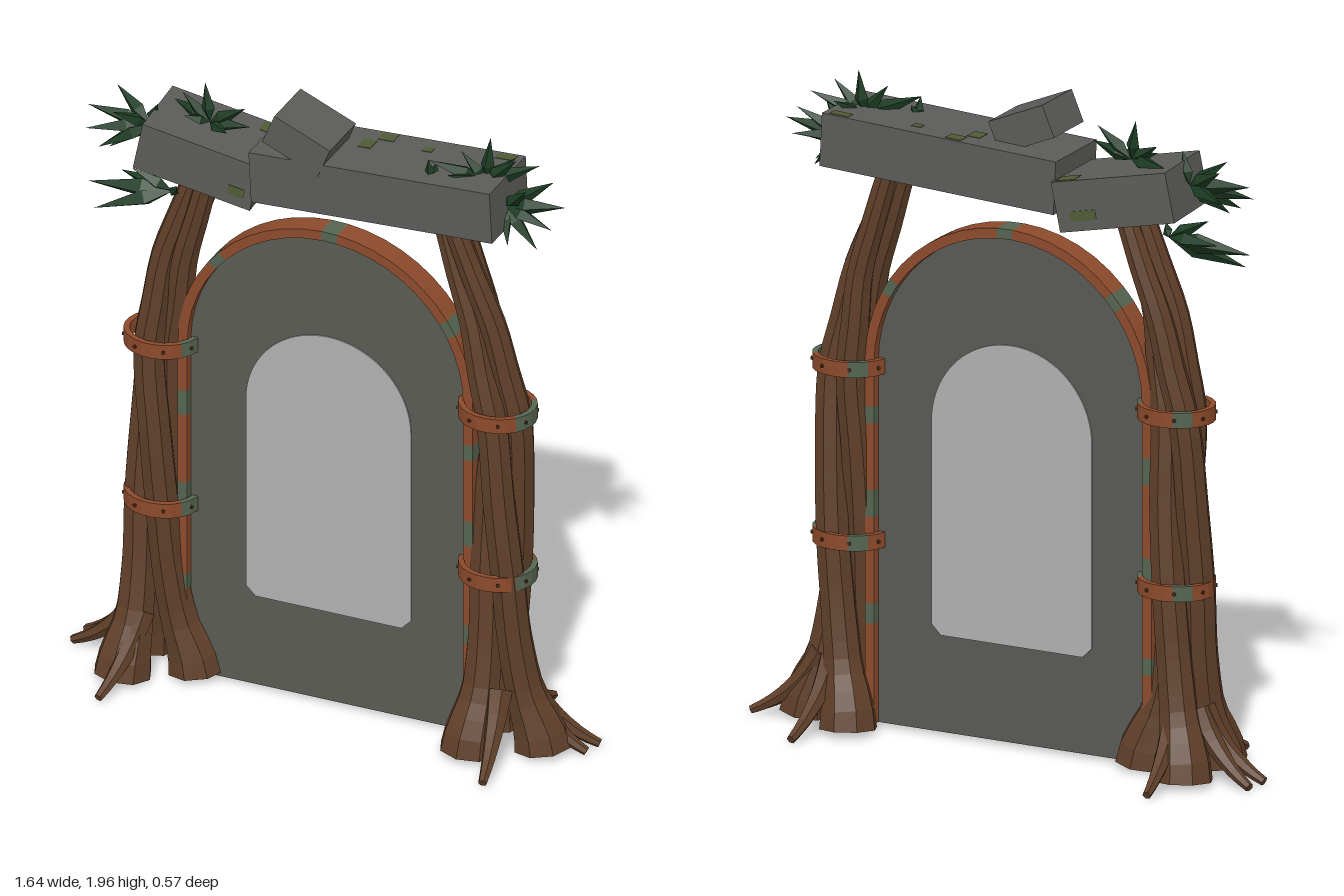
import * as THREE from 'three';

const mat = (name, color) => {
  const m = new THREE.MeshStandardMaterial({ color, flatShading: true });
  m.name = name;
  return m;
};
const V = (x, y, z) => new THREE.Vector3(x, y, z);

// Linear lookup in a list of [y, value] pairs
function lookup(table, y) {
  for (let i = 1; i < table.length; i++) {
    const [y0, v0] = table[i - 1], [y1, v1] = table[i];
    if (y <= y1) return v0 + (v1 - v0) * Math.max(0, (y - y0) / (y1 - y0));
  }
  return table[table.length - 1][1];
}

// Closed tube whose radius varies along the path (t from 0 to 1)
function taperedTube(points, segs, sides, radius) {
  const curve = new THREE.CatmullRomCurve3(points);
  const geo = new THREE.TubeGeometry(curve, segs, 1, sides);
  const pos = geo.attributes.position, p = V(0, 0, 0);
  for (let i = 0; i <= segs; i++) {
    const own = curve.getPointAt(i / segs);
    const k = Math.min(segs - 1, Math.max(1, i));
    const c = curve.getPointAt(k / segs);
    const r = i === k ? radius(i / segs, c) : 0;
    for (let j = 0; j <= sides; j++) {
      const n = i * (sides + 1) + j;
      p.fromBufferAttribute(pos, n).sub(own).multiplyScalar(r).add(c);
      pos.setXYZ(n, p.x, Math.max(0.008, p.y), p.z);
    }
  }
  geo.computeVertexNormals();
  return geo;
}

// Round-topped outline; cut chamfers the bottom corners
function archShape(w, bottom, spring, cut) {
  const s = new THREE.Shape();
  s.moveTo(-w + cut, bottom);
  s.lineTo(w - cut, bottom);
  s.lineTo(w, bottom + cut);
  s.lineTo(w, spring);
  s.absarc(0, spring, w, 0, Math.PI, false);
  s.lineTo(-w, bottom + cut);
  s.closePath();
  return s;
}

function extrude(shape, depth) {
  const g = new THREE.ExtrudeGeometry(shape, { depth, bevelEnabled: false, curveSegments: 24 });
  return g.translate(0, 0, -depth / 2);
}

export function createModel() {
  const root = new THREE.Group();
  root.name = 'overgrownDoorway';
  const bark = mat('bark', 0x5f3f29), stone = mat('stone', 0x5b5b58), slab = mat('doorSlab', 0x595a54);
  const pane = mat('paleInset', 0xb0b0b0), rust = mat('rustedMetal', 0x8c4a2b), green = mat('verdigris', 0x566450);
  const rivetMat = mat('darkRivet', 0x4a2a1c), leaf = mat('leaf', 0x1c3b23), moss = mat('moss', 0x505a35);
  const add = (parent, name, geo, material) => {
    const m = new THREE.Mesh(geo, material);
    m.name = name;
    parent.add(m);
    return m;
  };

  // Door slab with pale arched inset showing on both faces
  add(root, 'doorSlab', extrude(archShape(0.44, 0.05, 1.13, 0.001), 0.024), slab);
  add(root, 'doorInset', extrude(archShape(0.26, 0.34, 0.98, 0.03), 0.032), pane);

  // Metal rim following the arch, with weathered sections
  const leg = 1.08, rIn = 0.435, rOut = 0.465, arc = Math.PI * 0.45, total = 2 * leg + arc;
  const rimPoint = (s, r) => {
    if (s < leg) return [r, 0.05 + s];
    if (s > leg + arc) return [-r, 1.13 - (s - leg - arc)];
    const a = (s - leg) / 0.45;
    return [r * Math.cos(a), 1.13 + r * Math.sin(a)];
  };
  const breaks = [0, 0.3, 0.36, 0.62, 0.7, 0.9, 0.95, leg, 1.3, 1.35, 1.75, 1.8, 2.15, 2.2,
    leg + arc, 2.65, 2.73, 2.95, 3.03, 3.25, 3.3, total];
  let weathered = false;
  for (let i = 1; i < breaks.length; i++) {
    const s0 = breaks[i - 1], s1 = breaks[i], n = Math.max(1, Math.ceil((s1 - s0) / 0.06));
    const outer = [], inner = [];
    for (let k = 0; k <= n; k++) {
      const s = s0 + (s1 - s0) * k / n;
      outer.push(new THREE.Vector2(...rimPoint(s, rOut)));
      inner.unshift(new THREE.Vector2(...rimPoint(s, rIn)));
    }
    weathered = (s1 - s0) < 0.1;
    add(root, 'doorRim', extrude(new THREE.Shape([...outer, ...inner]), 0.075), weathered ? green : rust);
  }

  // Trunks: three twisted strands each, with flared feet and roots
  const axis = [[0, 0.545], [0.6, 0.545], [1.1, 0.54], [1.4, 0.485], [1.7, 0.385], [1.85, 0.325]];
  const spread = [[0, 0.13], [0.1, 0.115], [0.22, 0.075], [0.4, 0.052], [1.1, 0.043], [1.7, 0.028], [1.85, 0.025]];
  const girth = [[0, 0.09], [0.08, 0.085], [0.22, 0.058], [0.4, 0.053], [1.1, 0.047], [1.7, 0.033], [1.85, 0.03]];
  const levels = [0.0, 0.1, 0.22, 0.4, 0.6, 0.85, 1.1, 1.25, 1.4, 1.55, 1.7];
  const rootTips = {
    '-1': [[-0.84, -0.01], [-0.83, -0.09], [-0.61, 0.3], [-0.585, -0.31]],
    '1': [[0.835, -0.085], [0.82, -0.02], [0.61, 0.3], [0.575, -0.31]],
  };
  for (const side of [-1, 1]) {
    const trunk = new THREE.Group();
    trunk.name = side > 0 ? 'leftTrunk' : 'rightTrunk';
    root.add(trunk);
    for (let k = 0; k < 3; k++) {
      const top = side < 0 && k === 0 ? 1.84 : 1.78;
      const pts = [...levels, top].map((y) => {
        const a = k * Math.PI * 2 / 3 + Math.max(0, y - 0.15) * 2.0;
        const d = lookup(spread, y);
        return V(side * lookup(axis, y) + d * Math.cos(a), y, d * Math.sin(a));
      });
      add(trunk, 'trunkStrand', taperedTube(pts, 36, 8, (t, c) => lookup(girth, c.y)), bark);
    }
    for (const [x, z] of rootTips[side]) {
      const cx = side * 0.55, at = (f, y) => V(cx + (x - cx) * f, y, z * f);
      add(trunk, 'root', taperedTube([at(0.15, 0.27), at(0.4, 0.16), at(0.7, 0.085), at(1.03, 0.035)],
        10, 6, (t) => 0.042 - 0.032 * t), bark);
    }

    // Riveted bands, weathered on one flank
    for (const y of [0.6, 1.12]) {
      const band = new THREE.Group();
      band.name = 'trunkBand';
      band.position.set(side * 0.527, y, 0);
      band.scale.z = 0.92;
      trunk.add(band);
      const h = 0.023;
      const profile = [[0.098, -h], [0.116, -h], [0.116, h], [0.098, h], [0.098, -h]].map((p) => new THREE.Vector2(...p));
      const part = (from, to, m) => add(band, 'bandSection',
        new THREE.LatheGeometry(profile, Math.round((to - from) / 15), from * Math.PI / 180, (to - from) * Math.PI / 180), m);
      part(50, 125, green);
      part(125, 200, rust);
      part(200, 230, green);
      part(230, 410, rust);
      for (let i = 0; i < 8; i++) {
        const a = (i + 0.5) * Math.PI / 4;
        const rivet = add(band, 'rivet', new THREE.CylinderGeometry(0.006, 0.006, 0.008, 6).rotateX(Math.PI / 2), rivetMat);
        rivet.position.set(Math.sin(a) * 0.116, 0, Math.cos(a) * 0.116);
        rivet.rotation.y = a;
      }
    }
  }

  // Broken stone lintel, loose block and moss plates
  const block = (name, size, position, rotation) => {
    const b = add(root, name, new THREE.BoxGeometry(...size), stone);
    b.position.set(...position);
    b.rotation.set(...rotation);
    return b;
  };
  const shortLintel = block('shortLintel', [0.365, 0.15, 0.245], [-0.382, 1.757, -0.012], [0, 0.07, -0.2]);
  const longLintel = block('longLintel', [0.76, 0.16, 0.25], [0.18, 1.79, -0.004], [0, 0, 0.05]);
  block('looseBlock', [0.19, 0.1, 0.18], [-0.053, 1.907, 0.033], [0, 0, -0.4]);
  const patch = (parent, x, y, z, w, h, d) =>
    add(parent, 'mossPatch', new THREE.BoxGeometry(w, h, d), moss).position.set(x, y, z);
  patch(shortLintel, 0.14, 0.075, -0.09, 0.06, 0.003, 0.05);
  patch(shortLintel, 0.13, -0.03, 0.1225, 0.05, 0.03, 0.003);
  patch(shortLintel, 0.1, -0.03, -0.1225, 0.08, 0.03, 0.003);
  patch(longLintel, -0.04, 0.08, -0.095, 0.05, 0.003, 0.04);
  patch(longLintel, -0.08, 0.08, -0.04, 0.04, 0.003, 0.05);
  patch(longLintel, 0.1, 0.08, -0.065, 0.03, 0.003, 0.025);
  patch(longLintel, 0.33, 0.08, -0.1, 0.06, 0.003, 0.03);

  // Spiky leaf tufts: base point, then the tips
  const tufts = [
    [[-0.57, 1.8, 0], [[-0.765, 1.82, 0], [-0.75, 1.77, 0.05], [-0.7, 1.87, -0.06], [-0.68, 1.72, 0.04],
      [-0.71, 1.78, -0.07], [-0.65, 1.86, 0.08], [-0.7, 1.73, 0.07], [-0.53, 1.89, 0.03]]],
    [[-0.38, 1.85, 0], [[-0.4, 1.97, -0.01], [-0.53, 1.86, -0.07], [-0.24, 1.88, 0.03], [-0.26, 1.93, 0.02],
      [-0.48, 1.91, -0.03], [-0.3, 1.86, 0.06], [-0.45, 1.87, 0.03]]],
    [[-0.48, 1.62, 0.04], [[-0.74, 1.6, 0.05], [-0.7, 1.545, 0.1], [-0.6, 1.68, 0.06], [-0.66, 1.63, 0.0], [-0.45, 1.65, 0.08]]],
    [[0.49, 1.86, 0.0], [[0.5, 1.995, -0.01], [0.33, 1.92, 0.06], [0.64, 1.92, -0.04], [0.4, 1.89, 0.07],
      [0.59, 1.95, 0.01], [0.55, 1.91, -0.07], [0.42, 1.95, 0.02]]],
    [[0.55, 1.79, 0], [[0.735, 1.82, -0.01], [0.66, 1.68, 0.02], [0.68, 1.87, -0.05], [0.71, 1.76, 0.03],
      [0.58, 1.69, 0.05], [0.64, 1.88, 0.05], [0.62, 1.72, -0.05], [0.69, 1.79, -0.06]]],
    [[0.34, 1.86, 0.05], [[0.335, 1.92, 0.06], [0.35, 1.9, 0.03]]],
  ];
  for (const [base, tips] of tufts) {
    const tuft = new THREE.Group();
    tuft.name = 'leafTuft';
    tuft.position.set(...base);
    root.add(tuft);
    for (const tip of tips) {
      const dir = V(...tip).sub(tuft.position), len = dir.length(), r = 0.012 + len * 0.07;
      const blade = add(tuft, 'leafBlade', new THREE.LatheGeometry(
        [new THREE.Vector2(0, 0), new THREE.Vector2(r, len * 0.35), new THREE.Vector2(0, len)], 4), leaf);
      blade.quaternion.setFromUnitVectors(V(0, 1, 0), dir.normalize());
    }
  }
  return root;
}
